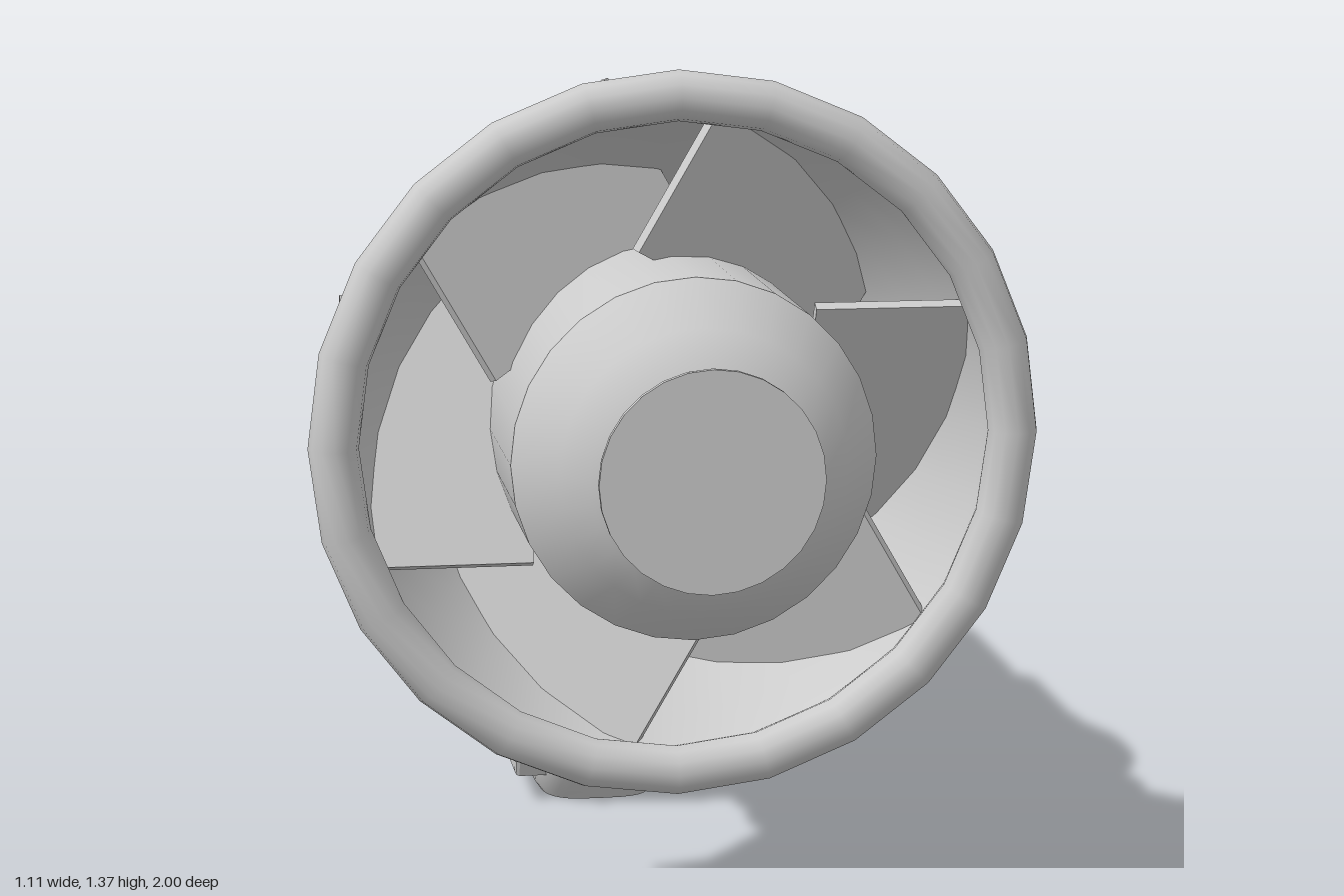
import * as THREE from 'three';
import { toCreasedNormals } from 'three/addons/utils/BufferGeometryUtils.js';

const AXIS_Y = 0.82;
const v3 = (x, y, z) => new THREE.Vector3(x, y, z);

export function createModel() {
  const model = new THREE.Group();
  const grey = new THREE.MeshStandardMaterial({ color: 0xcccccc });
  grey.name = 'light grey';
  const greyOpen = new THREE.MeshStandardMaterial({ color: 0xcccccc, side: THREE.DoubleSide });
  greyOpen.name = 'light grey two-sided';

  const add = (name, geometry, parent = model, material = grey) => {
    const mesh = new THREE.Mesh(geometry, material);
    mesh.name = name;
    parent.add(mesh);
    return mesh;
  };

  // Everything turned around the long z axis lives in this group
  const barrel = new THREE.Group();
  barrel.name = 'barrel';
  barrel.position.y = AXIS_Y;
  model.add(barrel);

  // Profile of [radius, z] pairs, back to front
  const turned = (name, profile, material = grey, segments = 28) => {
    const g = new THREE.LatheGeometry(profile.map(([r, z]) => new THREE.Vector2(r, z)), segments);
    g.rotateX(Math.PI / 2);
    return add(name, toCreasedNormals(g, 0.6), barrel, material);
  };

  turned('core', [
    [0, -1], [0.115, -1], [0.122, -0.99], [0.135, -0.965], [0.19, -0.945], [0.215, -0.92],
    [0.27, -0.84], [0.27, 0.84], [0.21, 0.925], [0.17, 0.955], [0.15, 0.965],
    [0.163, 0.99], [0.163, 1], [0, 1],
  ]);
  turned('housing', [
    [0.26, -0.455], [0.285, -0.455], [0.295, -0.44], [0.295, -0.17], [0.29, -0.165],
    [0.29, 0.33], [0.26, 0.33],
  ]);
  for (const z of [-0.145, 0.145]) {
    turned('housingBand', [
      [0.28, z - 0.021], [0.297, z - 0.021], [0.302, z - 0.013],
      [0.302, z + 0.013], [0.297, z + 0.021], [0.28, z + 0.021],
    ]);
  }

  // Flared horn with a rounded rim
  turned('horn', [
    [0.28, 0.31], [0.305, 0.35], [0.335, 0.4], [0.37, 0.45], [0.415, 0.52],
    [0.455, 0.59], [0.48, 0.64], [0.495, 0.68],
  ], greyOpen);
  add('rim', new THREE.TorusGeometry(0.516, 0.038, 12, 24), barrel).position.z = 0.68;

  // Six slanted blades passing through the horn wall
  const slope = Math.atan2(0.19, 0.38);
  for (let i = 0; i < 6; i++) {
    const g = new THREE.BoxGeometry(0.275, 0.43, 0.018);
    g.rotateX(slope);
    g.translate(0.3525, 0, 0.555);
    g.rotateZ((i * Math.PI) / 3);
    add('blade', g, barrel);
  }

  for (const s of [-1, 1]) {
    // Rounded side lug and small ridges
    add('sideLug', new THREE.CylinderGeometry(0.34, 0.34, 0.16, 48), barrel).position.x = s * 0.015;
    for (const t of [-1, 1]) {
      const ridge = add('ridge', new THREE.CapsuleGeometry(0.009, 0.065, 4, 8), barrel);
      ridge.rotation.x = Math.PI / 2;
      ridge.position.set(s * 0.257, t * 0.138, 0.262);
    }
  }

  // Grip lofted through rounded sections: [y, front z, back z, half width]
  const sections = [
    [0, -0.16, -0.395, 0.1], [0.015, -0.15, -0.405, 0.11], [0.06, -0.115, -0.405, 0.115],
    [0.2, -0.055, -0.378, 0.12], [0.35, 0.015, -0.34, 0.123], [0.47, 0.068, -0.312, 0.125],
    [0.6, 0.12, -0.28, 0.125],
  ];
  const N = 32, pos = [], idx = [];
  const soft = (c) => Math.sign(c) * Math.abs(c) ** 0.6;
  for (const [y, front, back, w] of sections) {
    for (let i = 0; i < N; i++) {
      const a = (i / N) * Math.PI * 2;
      pos.push(w * soft(Math.sin(a)), y, (front + back) / 2 + ((front - back) / 2) * soft(Math.cos(a)));
    }
  }
  for (let k = 0; k < sections.length - 1; k++) {
    for (let i = 0; i < N; i++) {
      const a = k * N + i, b = k * N + ((i + 1) % N);
      idx.push(a, b, b + N, a, b + N, a + N);
    }
  }
  for (let i = 1; i < N - 1; i++) idx.push(0, i + 1, i);
  const grip = new THREE.BufferGeometry();
  grip.setAttribute('position', new THREE.Float32BufferAttribute(pos, 3));
  grip.setIndex(idx);
  add('grip', toCreasedNormals(grip, 0.6));

  // Raised panels on both sides of the grip, drawn in (z, y)
  const panelShape = new THREE.Shape([[0.04, 0.58], [-0.165, 0.055], [-0.345, 0.055], [-0.19, 0.58]]
    .map(([z, y]) => new THREE.Vector2(z, y)));
  for (const s of [-1, 1]) {
    const g = new THREE.ExtrudeGeometry(panelShape, {
      depth: 0.055, bevelEnabled: true, bevelSize: 0.008, bevelThickness: 0.008, bevelSegments: 2,
    });
    g.translate(0, 0, -0.0275);
    g.rotateY(-Math.PI / 2);
    add('gripPanel', g).position.x = s * 0.118;
  }

  // Trigger guard and trigger made of round bars with ball joints
  const bar = (name, a, b, r) => {
    const g = new THREE.CylinderGeometry(r, r, a.distanceTo(b), 12);
    const mesh = add(name, g);
    mesh.position.copy(a).lerp(b, 0.5);
    mesh.quaternion.setFromUnitVectors(v3(0, 1, 0), b.clone().sub(a).normalize());
  };
  const corner = v3(0, 0.4, 0.25);
  bar('triggerGuard', v3(0, 0.385, -0.02), corner, 0.036);
  bar('triggerGuard', corner, v3(0, 0.55, 0.36), 0.036);
  add('guardCorner', new THREE.SphereGeometry(0.036, 12, 10)).position.copy(corner);
  bar('trigger', v3(0, 0.41, 0.225), v3(0, 0.56, 0.195), 0.028);

  return model;
}
